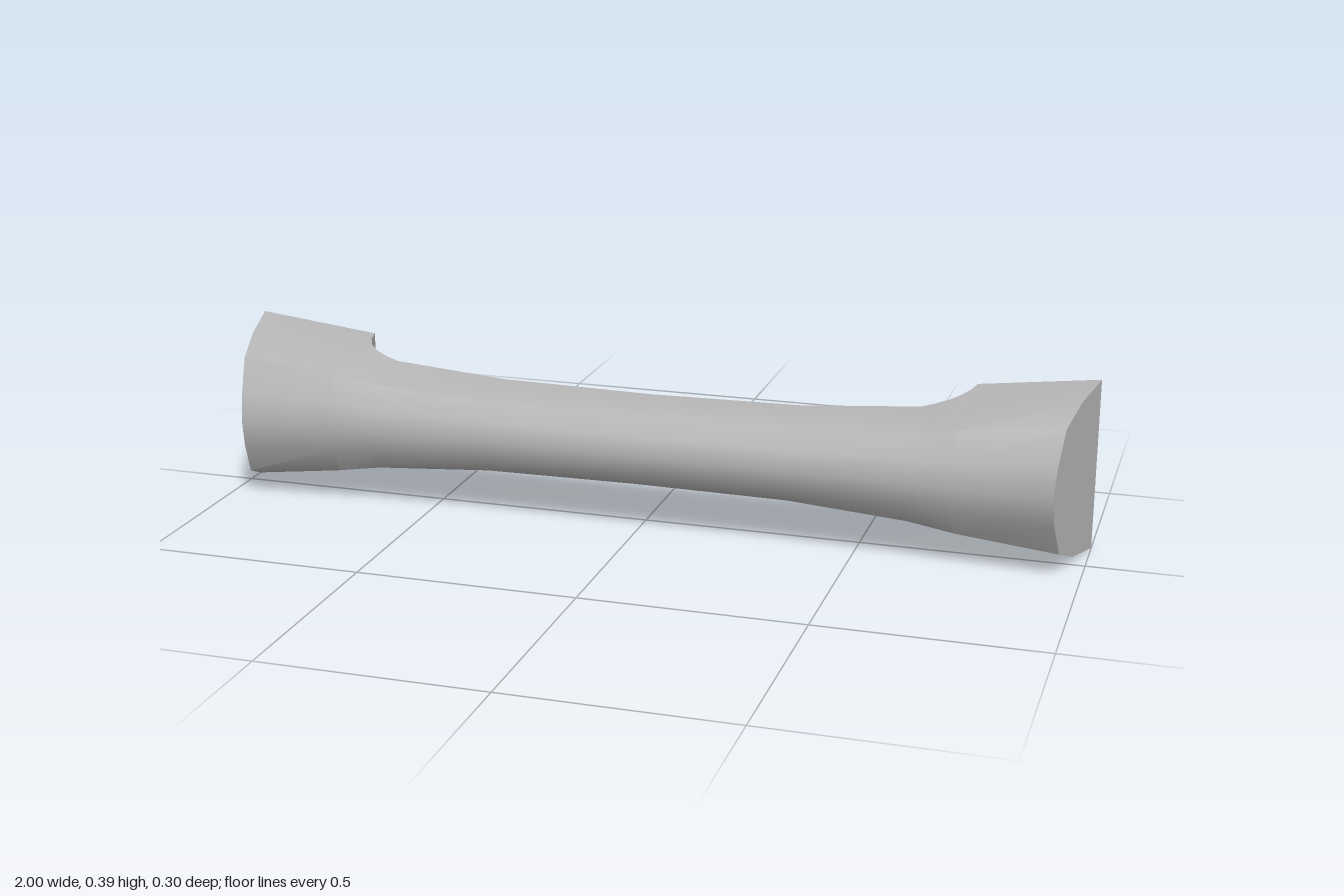
import * as THREE from 'three';
import { toCreasedNormals } from 'three/addons/utils/BufferGeometryUtils.js';

const CY = 0.195; // height of the grip's centre line

// Half cross-sections [z, half height], from the front ridge to the back edge
const MID = [[0.13, 0], [0.12, 0.042], [0.088, 0.078], [0.03, 0.094], [-0.033, 0.098]];
const WAIST = [[0.13, 0], [0.12, 0.044], [0.088, 0.081], [0.03, 0.097], [-0.033, 0.103]];
const NECK = [[0.138, 0], [0.127, 0.05], [0.09, 0.1], [0.03, 0.115], [-0.034, 0.124]];
const HEEL = [[0.143, 0], [0.131, 0.056], [0.092, 0.117], [0.01, 0.14], [-0.148, 0.153]];
const END = [[0.148, 0], [0.133, 0.064], [0.092, 0.14], [0.005, 0.175], [-0.117, 0.195]];

const endX = z => 1 - 0.06 * (z + 0.117) / 0.265; // slanted outer end

// Close a half section into a full ring, lower half mirrored
function ring(half, xAt) {
  const up = half.map(([z, h]) => [xAt(z), CY + h, z]);
  const low = half.slice(1).reverse().map(([z, h]) => [xAt(z), CY - h, z]);
  return [...up, ...low];
}

// Section in the curved fillet between neck and heel
function filletSection(x, backZ) {
  const t = (x - 0.62) / 0.107;
  const s = NECK.map(([z, h], i) => [z + (HEEL[i][0] - z) * t, h + (HEEL[i][1] - h) * t]);
  s[4][0] = backZ;
  return s;
}

function finish(tris, crease) {
  const g = new THREE.BufferGeometry();
  g.setAttribute('position', new THREE.Float32BufferAttribute(tris.flat(), 3));
  return toCreasedNormals(g, crease);
}

const quad = (out, a, b, c, d) => out.push(a, b, c, a, c, d);

function gripGeometry() {
  const right = [
    [0.35, WAIST], [0.62, NECK],
    ...[[0.65, -0.038], [0.68, -0.052], [0.703, -0.076], [0.718, -0.108]].map(
      ([x, z]) => [x, filletSection(x, z)]),
    [0.727, HEEL],
  ].map(([x, s]) => ring(s, () => x));
  right.push(ring(END, endX));
  const left = right.map(r => r.map(([x, y, z]) => [-x, y, z])).reverse();
  const rings = [...left, ring(MID, () => 0), ...right];

  const out = [], n = rings[0].length, last = rings.length - 1;
  for (let i = 0; i < last; i++) {
    const a = rings[i], b = rings[i + 1];
    for (let j = 0; j < n; j++) {
      // the backs of the two feet stay open for the sockets
      if (j === 4 && (i === 0 || i === last - 1)) continue;
      const k = (j + 1) % n;
      quad(out, a[j], b[j], b[k], a[k]);
    }
  }
  // flat end faces
  for (let j = 1; j < n - 1; j++) {
    out.push(rings[last][0], rings[last][j + 1], rings[last][j]);
    out.push(rings[0][0], rings[0][j], rings[0][j + 1]);
  }
  return finish(out, 0.66);
}

// Rim and tapered recess on the back of one foot
function socketGeometry(side) {
  const loop = (x0, h0, z0, x1, h1, z1) => [
    [side * x0, CY - h0, z0], [side * x0, CY + h0, z0],
    [side * x1, CY + h1, z1], [side * x1, CY - h1, z1],
  ];
  const loops = [
    loop(0.727, 0.153, -0.148, 1, 0.195, -0.117),
    loop(0.77, 0.117, -0.143, 0.955, 0.143, -0.122),
    loop(0.775, 0.11, -0.06, 0.945, 0.13, -0.05),
    loop(0.79, 0.085, 0.045, 0.915, 0.095, 0.05),
  ];
  const out = [];
  const face = (a, b, c, d) => side > 0 ? quad(out, a, b, c, d) : quad(out, d, c, b, a);
  for (let i = 0; i < 3; i++) {
    for (let j = 0; j < 4; j++) {
      const k = (j + 1) % 4;
      face(loops[i][j], loops[i][k], loops[i + 1][k], loops[i + 1][j]);
    }
  }
  face(...loops[3]); // recess floor
  return finish(out, 0.6);
}

export function createModel() {
  const group = new THREE.Group();
  group.name = 'pullHandle';
  const grey = new THREE.MeshStandardMaterial({ color: 0xb4b4b4 });
  grey.name = 'plainGrey';

  const add = (geometry, name) => {
    const mesh = new THREE.Mesh(geometry, grey);
    mesh.name = name;
    group.add(mesh);
  };
  add(gripGeometry(), 'grip');
  add(socketGeometry(1), 'leftSocket');
  add(socketGeometry(-1), 'rightSocket');
  return group;
}
